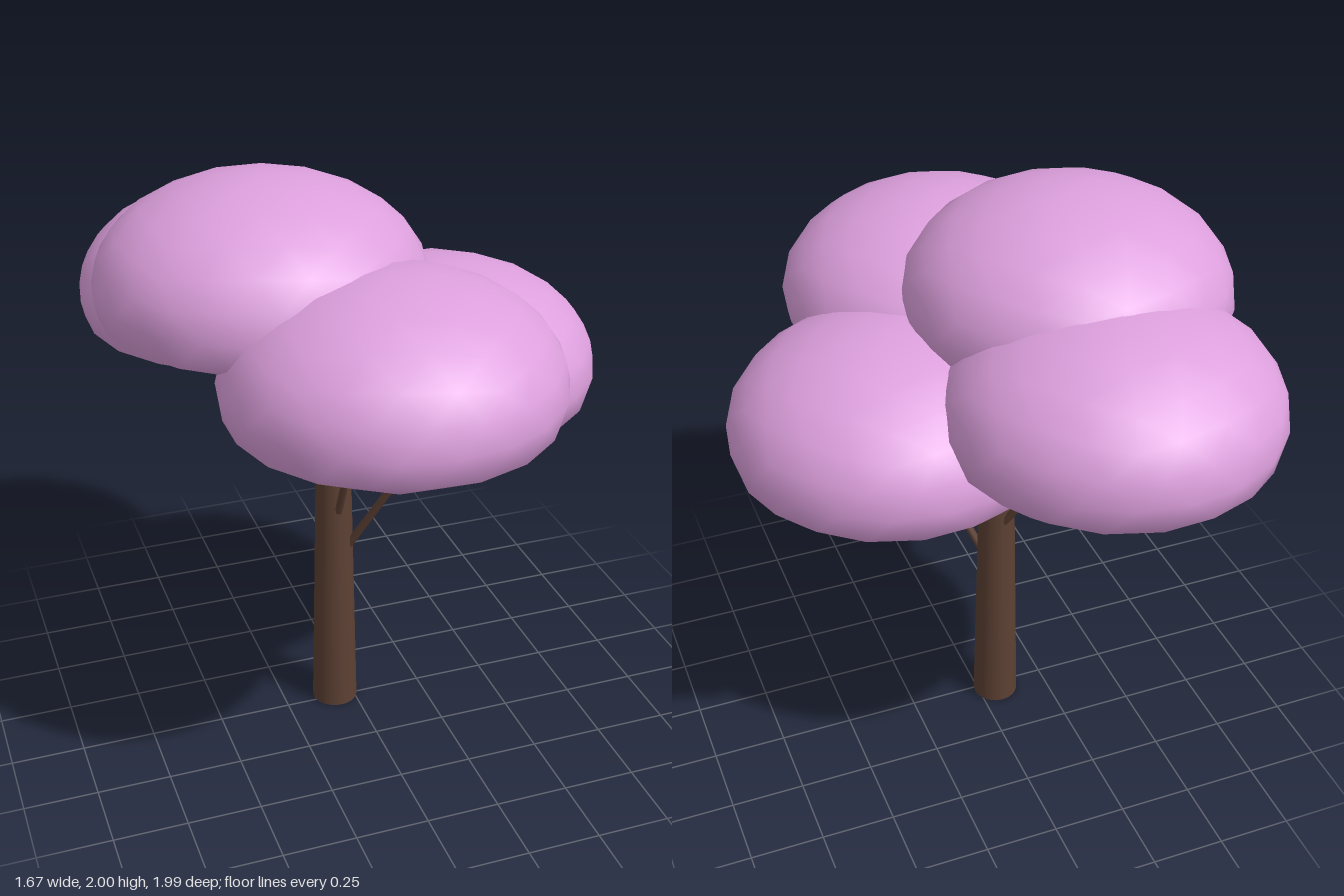
import * as THREE from 'three';
import { mergeVertices } from 'three/addons/utils/BufferGeometryUtils.js';

// Smooth dome: squashed icosphere with a pole up, cut flat underneath
function domeGeometry() {
  let g = new THREE.IcosahedronGeometry(1, 3);
  g.deleteAttribute('uv');
  g.deleteAttribute('normal');
  g.rotateZ(-Math.atan2(1, (1 + Math.sqrt(5)) / 2));
  g.scale(0.535, 0.34, 0.535);
  g = mergeVertices(g, 1e-4);
  const p = g.attributes.position;
  for (let i = 0; i < p.count; i++) p.setY(i, Math.max(p.getY(i), -0.12));
  g.computeVertexNormals();
  return g;
}

// Thin straight limb between two points
function limb(a, b, radius, material) {
  const from = new THREE.Vector3(...a);
  const dir = new THREE.Vector3(...b).sub(from);
  const mesh = new THREE.Mesh(new THREE.CylinderGeometry(radius * 0.9, radius, dir.length(), 8), material);
  mesh.position.copy(from).addScaledVector(dir, 0.5);
  mesh.quaternion.setFromUnitVectors(new THREE.Vector3(0, 1, 0), dir.normalize());
  return mesh;
}

export function createModel() {
  const tree = new THREE.Group();
  tree.name = 'tree';
  const bark = new THREE.MeshStandardMaterial({ color: 0x5c4033 });
  bark.name = 'brown bark';
  const blossom = new THREE.MeshStandardMaterial({ color: 0xdda0dd });
  blossom.name = 'pink blossom';

  // Tapered trunk
  const trunk = new THREE.Mesh(new THREE.CylinderGeometry(0.051, 0.08, 1.4, 20), bark);
  trunk.name = 'trunk';
  trunk.position.set(-0.065, 0.7, -0.02);
  tree.add(trunk);

  // Branches, each a path of two or three points
  const branches = [
    [[-0.025, 0.64, 0.01], [0.3, 1.39, 0.33]],
    [[-0.065, 0.8, 0.035], [-0.065, 1.5, 0.36]],
    [[-0.065, 0.79, -0.06], [-0.285, 1.32, -0.31], [-0.285, 1.5, -0.31]],
    [[-0.1, 0.9, -0.01], [-0.235, 1.58, 0.2]],
    [[-0.06, 0.95, -0.04], [-0.035, 1.83, -0.365]],
  ];
  branches.forEach((path, n) => {
    const branch = new THREE.Group();
    branch.name = `branch${n + 1}`;
    for (let i = 1; i < path.length; i++) branch.add(limb(path[i - 1], path[i], 0.014, bark));
    tree.add(branch);
  });

  // Four overlapping blossom domes
  const dome = domeGeometry();
  const canopies = {
    frontCanopy: [-0.035, 1.48, 0.46],
    leftCanopy: [0.3, 1.293, -0.025],
    backCanopy: [-0.27, 1.48, -0.46],
    topCanopy: [-0.3, 1.66, -0.025],
  };
  for (const [name, position] of Object.entries(canopies)) {
    const canopy = new THREE.Mesh(dome, blossom);
    canopy.name = name;
    canopy.position.set(...position);
    tree.add(canopy);
  }
  return tree;
}
